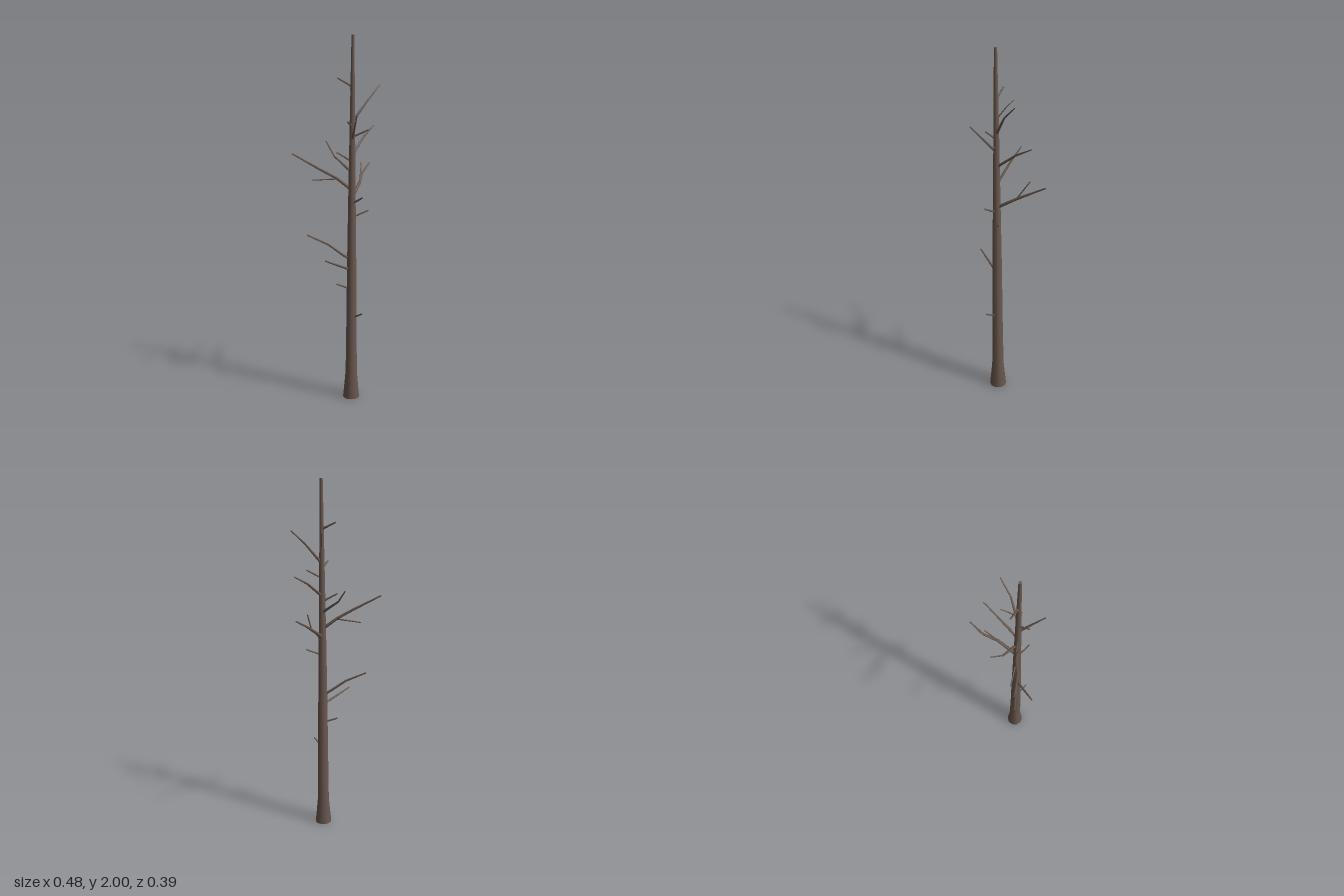
import * as THREE from 'three';

const UP = new THREE.Vector3(0, 1, 0);

// Tapered limb through a list of [x, y, z, radius]: each ring of a cylinder is moved onto one point.
function limb(name, points, sides, material) {
  const p = points.map(([x, y, z]) => new THREE.Vector3(x, y, z));
  const last = p.length - 1;
  const turn = p.map((_, i) => {
    const t = p[Math.min(i + 1, last)].clone().sub(p[Math.max(i - 1, 0)]).normalize();
    return new THREE.Quaternion().setFromUnitVectors(UP, t);
  });
  const geo = new THREE.CylinderGeometry(1, 1, 1, sides, last);
  const pos = geo.attributes.position, nor = geo.attributes.normal;
  const v = new THREE.Vector3();
  for (let k = 0; k < pos.count; k++) {
    const i = Math.round((pos.getY(k) + 0.5) * last);
    v.set(pos.getX(k), 0, pos.getZ(k)).multiplyScalar(points[i][3]).applyQuaternion(turn[i]).add(p[i]);
    pos.setXYZ(k, v.x, v.y, v.z);
    v.fromBufferAttribute(nor, k).applyQuaternion(turn[i]);
    nor.setXYZ(k, v.x, v.y, v.z);
  }
  const mesh = new THREE.Mesh(geo, material);
  mesh.name = name;
  return mesh;
}

export function createModel() {
  const tree = new THREE.Group();
  tree.name = 'bareTree';
  const bark = new THREE.MeshStandardMaterial({ color: 0x6b5a50 });
  bark.name = 'bark';

  // Trunk with a flared foot
  tree.add(limb('trunk', [
    [0.083, 0, 0.059, 0.047], [0.083, 0.07, 0.059, 0.04], [0.083, 0.15, 0.059, 0.033],
    [0.083, 0.4, 0.06, 0.03], [0.083, 0.8, 0.06, 0.026], [0.083, 1.2, 0.06, 0.02],
    [0.084, 1.6, 0.06, 0.014], [0.085, 2, 0.061, 0.008],
  ], 10, bark));

  // Long branches: each starts inside the trunk and bends on its way out
  const branches = [
    [[0.083, 1.185, 0.06, 0.01], [0, 1.25, 0.057, 0.008], [-0.09, 1.3, 0.068, 0.007], [-0.237, 1.382, 0.057, 0.004]],
    [[0.083, 1.14, 0.058, 0.01], [0.13, 1.21, -0.045, 0.008], [0.147, 1.25, -0.125, 0.006], [0.191, 1.297, -0.195, 0.004]],
    [[0.083, 1.37, 0.06, 0.008], [0.149, 1.46, -0.039, 0.006], [0.207, 1.514, -0.12, 0.003]],
    [[0.083, 1.55, 0.06, 0.008], [0.172, 1.667, 0.018, 0.005], [0.234, 1.74, -0.036, 0.003]],
    [[0.083, 1.28, 0.055, 0.008], [-0.012, 1.36, -0.011, 0.005], [-0.054, 1.434, -0.07, 0.003]],
    [[0.083, 0.795, 0.06, 0.008], [0.03, 0.83, 0.062, 0.007], [-0.045, 0.885, 0.062, 0.006], [-0.16, 0.938, 0.06, 0.004]],
    [[0.083, 0.74, 0.06, 0.007], [0.01, 0.778, 0.108, 0.006], [-0.06, 0.816, 0.155, 0.004]],
    [[0.083, 1.455, 0.06, 0.008], [0.094, 1.53, 0.13, 0.005], [0.103, 1.597, 0.192, 0.003]],
  ];
  branches.forEach((b) => tree.add(limb('branch', b, 6, bark)));

  // Side shoots growing from the two thickest branches, and one behind the trunk
  const shoots = [
    [[0, 1.245, 0.057, 0.004], [-0.131, 1.235, 0.035, 0.003]],
    [[0.13, 1.21, -0.045, 0.004], [0.141, 1.312, -0.115, 0.003]],
    [[0.084, 1.63, 0.06, 0.004], [0.08, 1.69, 0.012, 0.003], [0.074, 1.73, -0.029, 0.002]],
  ];
  shoots.forEach((s) => tree.add(limb('shoot', s, 6, bark)));

  // Short straight twigs: height at the trunk, then the tip
  const twigs = [
    [1.735, 0.006, 1.778, 0.023],
    [1.525, 0.056, 1.556, 0.117],
    [1.47, 0.169, 1.51, 0.073],
    [1.34, 0, 1.388, 0.055],
    [1.11, 0.138, 1.154, 0.122],
    [1.035, 0.173, 1.07, 0.043],
    [0.63, 0, 0.66, 0.058],
    [0.465, 0.14, 0.507, 0.121],
  ];
  twigs.forEach(([y0, x, y, z]) =>
    tree.add(limb('twig', [[0.083, y0, 0.06, 0.006], [x, y, z, 0.004]], 6, bark)));

  return tree;
}
